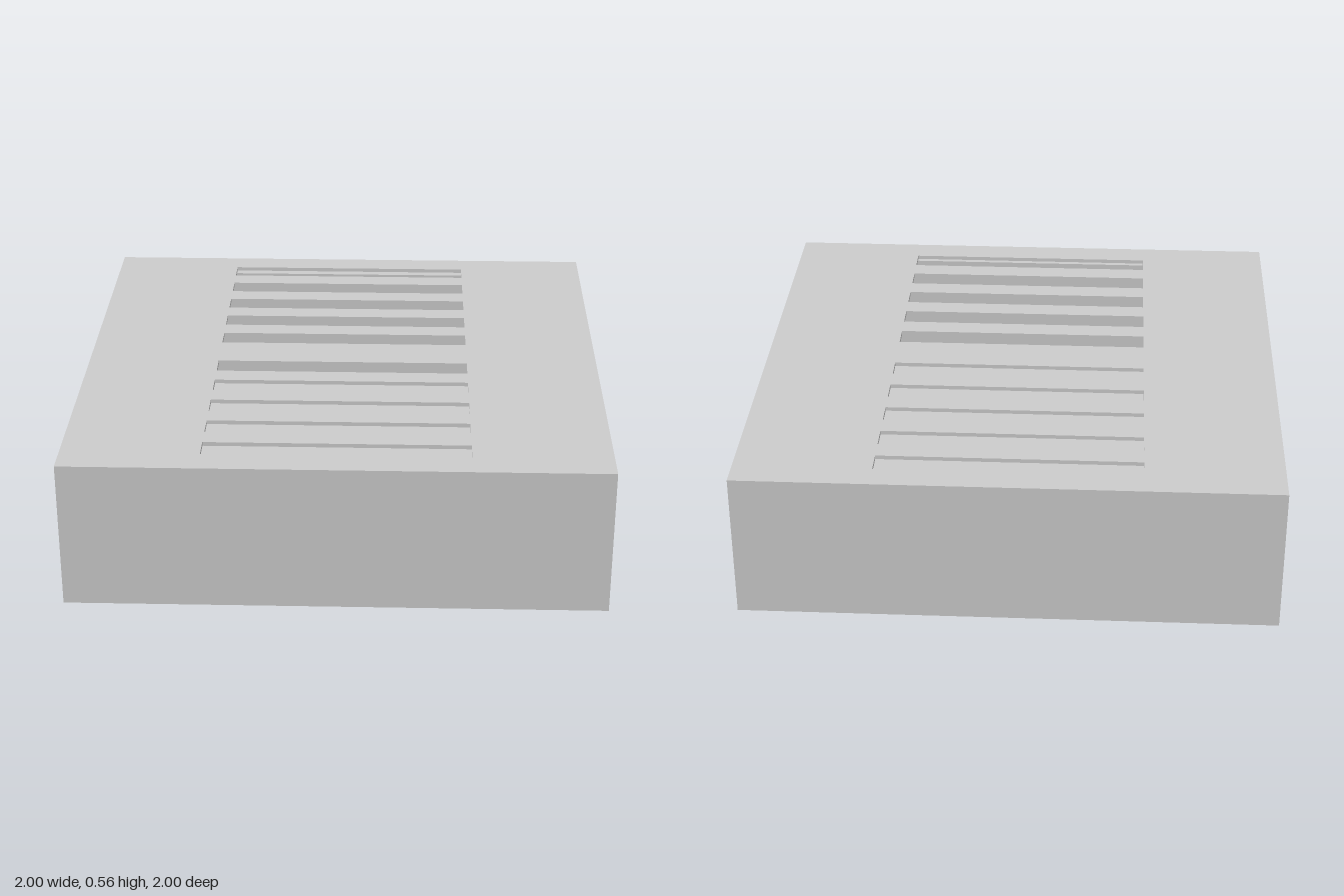
import * as THREE from 'three';

const material = new THREE.MeshStandardMaterial({ color: 0xcccccc, flatShading: true });

// Rectangle outline centred on (x, y)
function rect(Type, x, y, w, h) {
  const p = new Type();
  p.moveTo(x - w / 2, y - h / 2);
  p.lineTo(x + w / 2, y - h / 2);
  p.lineTo(x + w / 2, y + h / 2);
  p.lineTo(x - w / 2, y + h / 2);
  p.closePath();
  return p;
}

// Horizontal slab between two heights, extruded upward from an x/z outline
function slab(name, shape, bottom, top) {
  const geo = new THREE.ExtrudeGeometry(shape, { depth: top - bottom, bevelEnabled: false });
  geo.rotateX(-Math.PI / 2);
  geo.translate(0, bottom, 0);
  const mesh = new THREE.Mesh(geo, material);
  mesh.name = name;
  return mesh;
}

export function createModel() {
  const group = new THREE.Group();
  group.name = 'slottedBox';
  const height = 0.565, rim = 0.535, floorTop = 0.015, lip = 0.02;

  // Floor and thick walls around the inner well
  group.add(slab('floor', rect(THREE.Shape, 0, 0, 2, 2), 0, floorTop));
  const walls = rect(THREE.Shape, 0, 0, 2, 2);
  walls.holes.push(rect(THREE.Path, 0, 0, 1.334, 1.8));
  group.add(slab('walls', walls, floorTop, rim));

  // Raised lips along the front and back that hold the lid
  for (const [name, side] of [['frontLip', 1], ['backLip', -1]]) {
    group.add(slab(name, rect(THREE.Shape, 0, -side * (1 - lip / 2), 2, lip), rim, height));
  }

  // Thin lid with two banks of five slots, leaving a narrow gap at each side
  const lid = rect(THREE.Shape, 0, 0, 2, 2 - 2 * lip);
  for (const side of [1, -1]) {
    for (let i = 0; i < 5; i++) {
      const z = side * (0.135 + i * 0.1775) - 0.004;
      lid.holes.push(rect(THREE.Path, 0, -z, 0.98, 0.094));
    }
  }
  group.add(slab('slottedLid', lid, 0.55, height));

  return group;
}
